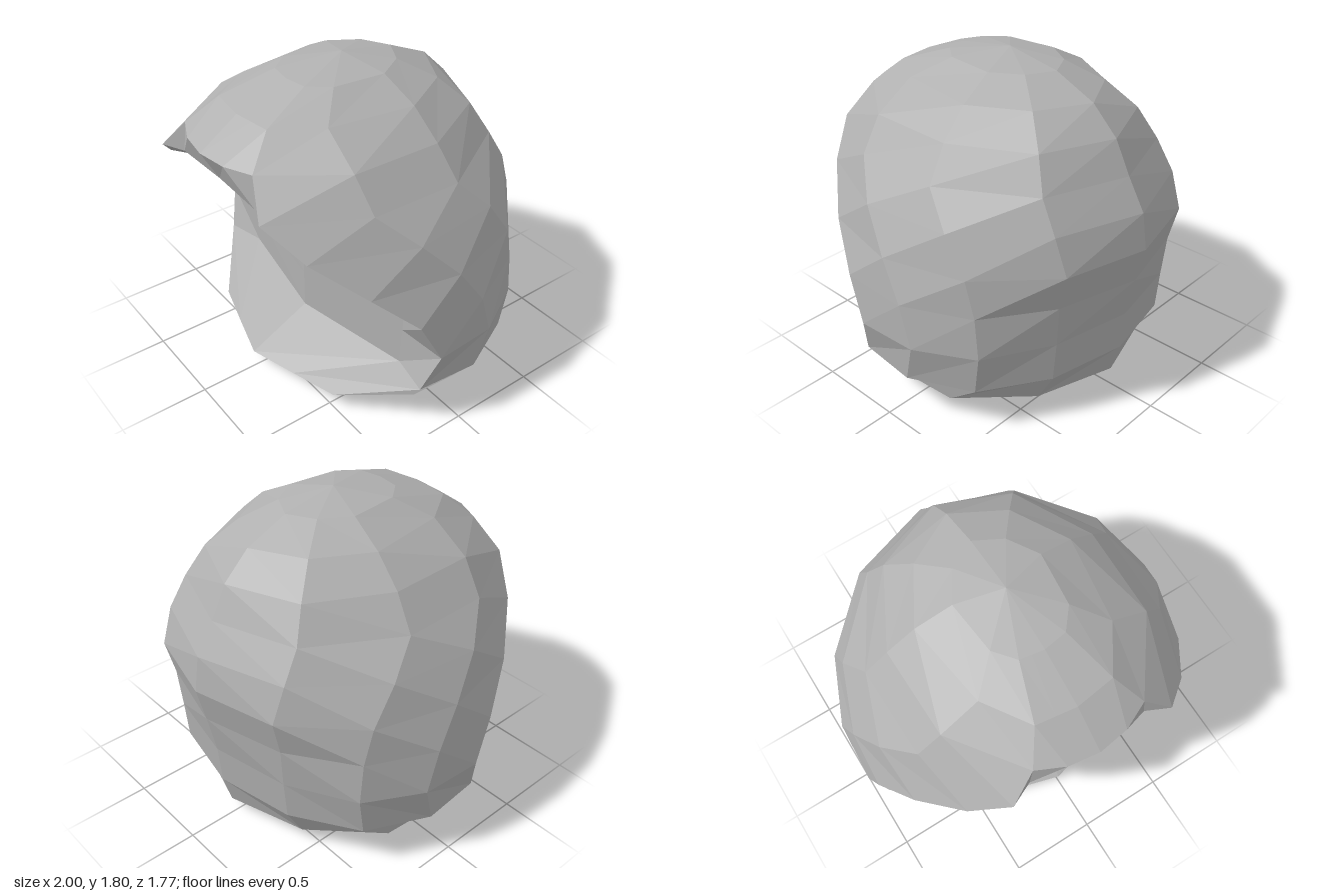
import * as THREE from 'three';

const stone = new THREE.MeshStandardMaterial({ color: 0xb0b0b0 });
stone.name = 'stone grey';
stone.flatShading = true;

// heights of the horizontal rings
const heights = [0, 0.105, 0.28, 0.51, 0.745, 0.95, 1.15, 1.32, 1.495, 1.64, 1.745];

// meridians from front centre round the +x side to back centre: x and z on each ring
const meridians = [
  { x: heights.map(() => 0), // centre of the hollow
    z: [0.45, 0.67, 0.31, 0.31, 0.31, 0.42, 0.56, 0.79, 0.885, 0.67, 0.38] },
  { x: [0.2, 0.28, 0.7, 0.715, 0.73, 0.73, 0.58, 0.34, 0.17, 0.11, 0.065], // side of the hollow
    z: [0.405, 0.59, 0.18, 0.18, 0.18, 0.29, 0.47, 0.8, 0.86, 0.655, 0.37] },
  { x: [0.4, 0.55, 0.93, 1, 0.97, 0.85, 0.66, 0.47, 0.32, 0.22, 0.13], // rim of the hollow
    z: [0.36, 0.51, 0.23, 0.16, 0.28, 0.5, 0.73, 0.86, 0.79, 0.64, 0.36] },
  { x: [0.56, 0.81, 0.96, 0.98, 0.98, 0.95, 0.87, 0.73, 0.6, 0.38, 0.22], // flank
    z: [0.12, 0.16, -0.12, -0.19, -0.12, 0.02, 0.21, 0.39, 0.41, 0.4, 0.25] },
  { x: [0.55, 0.78, 0.8, 0.81, 0.81, 0.82, 0.81, 0.74, 0.61, 0.45, 0.25], // rear flank
    z: [-0.17, -0.25, -0.46, -0.5, -0.48, -0.43, -0.29, -0.12, -0.09, -0.07, -0.04] },
  { x: [0.33, 0.45, 0.45, 0.45, 0.46, 0.47, 0.48, 0.46, 0.39, 0.28, 0.15], // rear
    z: [-0.42, -0.58, -0.68, -0.7, -0.72, -0.77, -0.7, -0.6, -0.51, -0.37, -0.2] },
  { x: heights.map(() => 0), // back centre
    z: [-0.53, -0.72, -0.77, -0.79, -0.84, -0.89, -0.86, -0.76, -0.67, -0.52, -0.28] },
];

function boulderGeometry() {
  const half = meridians.length - 1;
  const count = half * 2;
  const positions = [];
  const index = [];

  // closed rings, with the -x side mirrored
  heights.forEach((y, r) => {
    for (let i = 0; i < count; i++) {
      const mirrored = i > half;
      const m = meridians[mirrored ? count - i : i];
      positions.push(mirrored ? -m.x[r] : m.x[r], y, m.z[r]);
    }
  });
  const bottom = positions.length / 3;
  positions.push(0, 0, -0.04);
  const top = bottom + 1;
  positions.push(0, 1.8, 0.04);

  const last = (heights.length - 1) * count;
  for (let i = 0; i < count; i++) {
    const j = (i + 1) % count;
    for (let r = 0; r < heights.length - 1; r++) {
      const a = r * count + i, b = r * count + j;
      const c = b + count, d = a + count;
      if (i < half) index.push(a, b, c, a, c, d);
      else index.push(a, b, d, b, c, d);
    }
    index.push(bottom, j, i);
    index.push(last + i, last + j, top);
  }

  const indexed = new THREE.BufferGeometry();
  indexed.setAttribute('position', new THREE.Float32BufferAttribute(positions, 3));
  indexed.setIndex(index);
  const geometry = indexed.toNonIndexed();
  geometry.computeVertexNormals();
  return geometry;
}

export function createModel() {
  const group = new THREE.Group();
  group.name = 'hollowBoulder';
  const body = new THREE.Mesh(boulderGeometry(), stone);
  body.name = 'boulder';
  group.add(body);
  return group;
}
